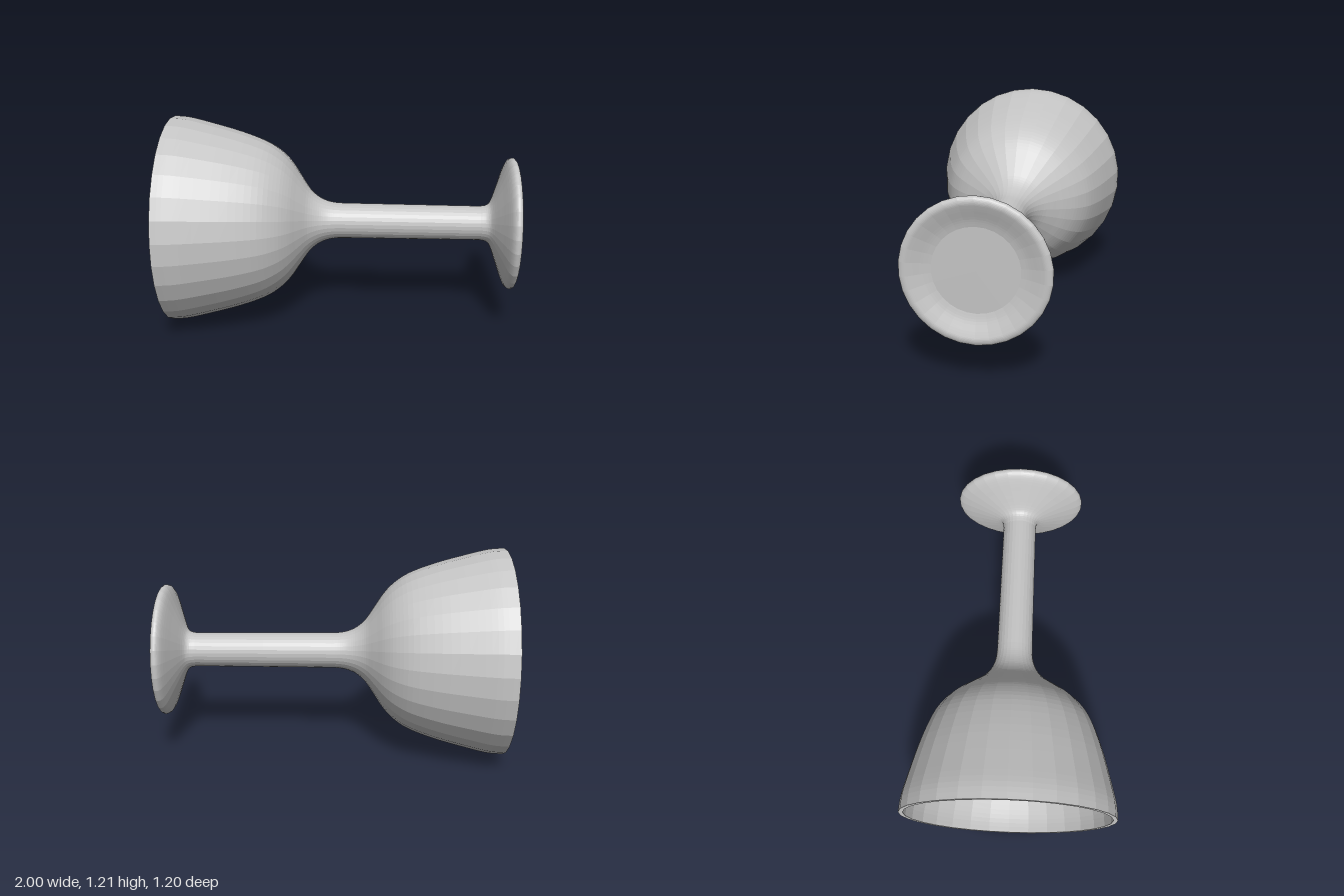
import * as THREE from 'three';

const SIDES = 30;
const AXIS_HEIGHT = 0.605;

// Smooth curve through [position along axis, radius] pairs
function smooth(pairs, count) {
  const curve = new THREE.SplineCurve(pairs.map(([x, r]) => new THREE.Vector2(r, x)));
  return curve.getPoints(count).map((p) => new THREE.Vector2(Math.max(p.x, 0), p.y));
}

export function createModel() {
  const group = new THREE.Group();
  group.name = 'goblet';
  const grey = new THREE.MeshStandardMaterial({ color: 0xc4c4c4, flatShading: true });
  grey.name = 'grey';

  // Turned part lying along x
  function turned(name, points) {
    const geometry = new THREE.LatheGeometry(points, SIDES, Math.PI / 2);
    geometry.rotateZ(-Math.PI / 2);
    const mesh = new THREE.Mesh(geometry, grey);
    mesh.name = name;
    mesh.position.y = AXIS_HEIGHT;
    group.add(mesh);
  }

  // Outside of the bowl, from the rim to the neck
  turned('bowlOutside', smooth([
    [-1, 0.605], [-0.91, 0.598], [-0.78, 0.567], [-0.6, 0.517], [-0.45, 0.46], [-0.36, 0.4],
    [-0.3, 0.335], [-0.25, 0.26], [-0.2, 0.187], [-0.15, 0.142], [-0.1, 0.118], [-0.05, 0.107], [0, 0.104],
  ], 48));

  // Hollow inside of the bowl, from its floor to the rim
  turned('bowlInside', smooth([
    [-0.25, 0], [-0.26, 0.1], [-0.29, 0.22], [-0.34, 0.33], [-0.4, 0.405], [-0.48, 0.45],
    [-0.62, 0.492], [-0.8, 0.545], [-0.92, 0.573], [-1, 0.58],
  ], 36));

  // Flat lip
  turned('rim', [new THREE.Vector2(0.58, -1), new THREE.Vector2(0.605, -1)]);

  // Straight stem
  turned('stem', [[0, 0.104], [0.4, 0.102], [0.8, 0.1]].map(([x, r]) => new THREE.Vector2(r, x)));

  // Flared foot with a rounded edge and a recessed underside
  turned('foot', smooth([
    [0.8, 0.1], [0.84, 0.109], [0.865, 0.14], [0.9, 0.235], [0.935, 0.335], [0.955, 0.373],
    [0.975, 0.385], [0.993, 0.378], [1, 0.355], [0.992, 0.325], [0.97, 0.265], [0.96, 0.225],
  ], 44));
  turned('footBase', [new THREE.Vector2(0.225, 0.96), new THREE.Vector2(0, 0.96)]);

  return group;
}
